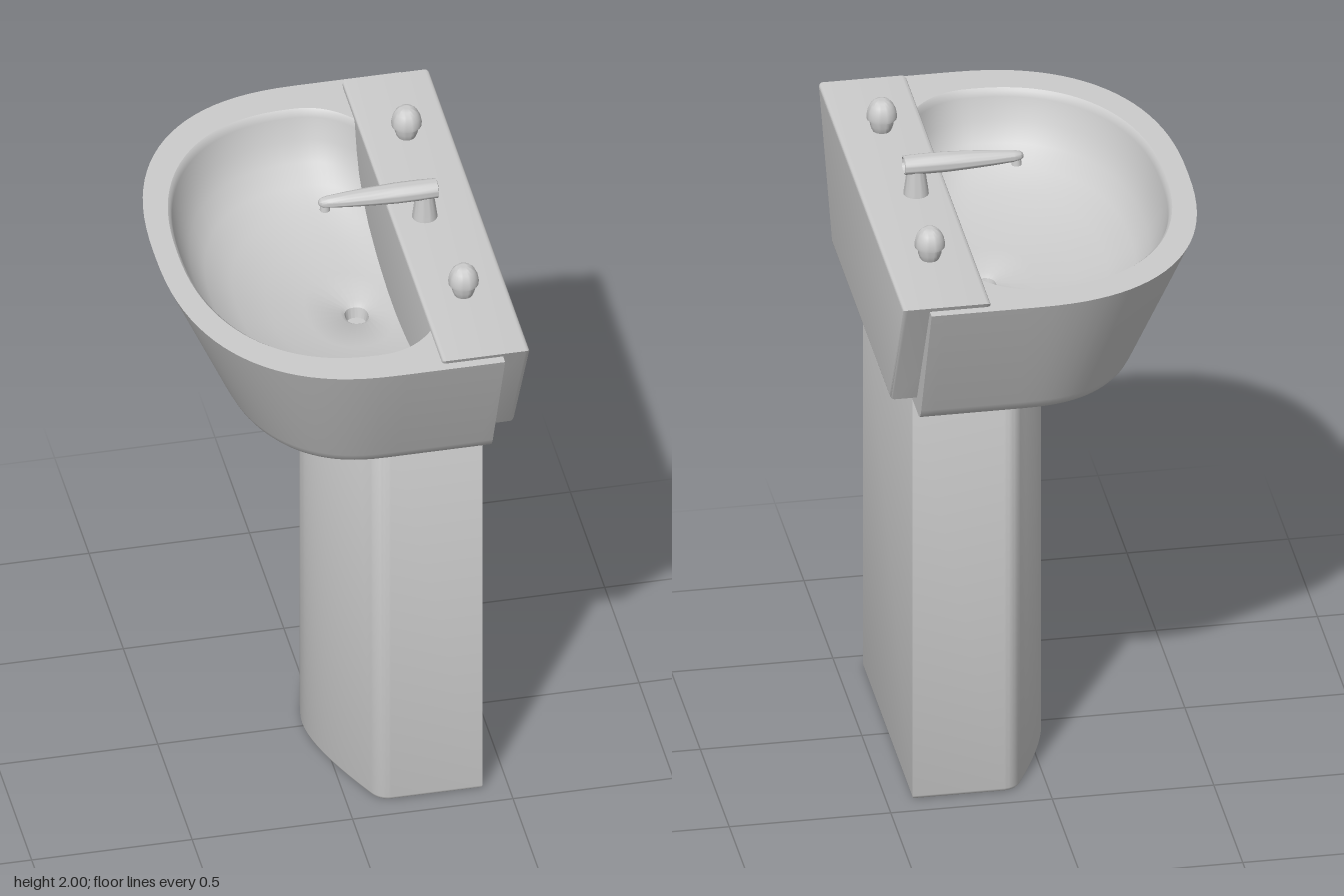
import * as THREE from 'three';
import { toCreasedNormals } from 'three/addons/utils/BufferGeometryUtils.js';

const SIDES = 96; // multiple of 8 so the square corners land on a sample

// Cross-section: superellipse front, with either a square or a rounded back
function ring({ y, cx, front, back, b, n, square = false }) {
  const points = [];
  const power = (v) => Math.sign(v) * Math.pow(Math.abs(v), 2 / n);
  for (let i = 0; i < SIDES; i++) {
    const t = (i / SIDES) * Math.PI * 2;
    const c = Math.cos(t), s = Math.sin(t);
    if (square && c > 1e-6) {
      const m = Math.max(c, Math.abs(s));
      points.push([cx + (back * c) / m, y, (b * s) / m]);
    } else {
      points.push([cx + (c > 0 ? back : front) * power(c), y, b * power(s)]);
    }
  }
  return points;
}

// Skin a list of rings
function loft(rings) {
  const geometry = new THREE.BufferGeometry();
  const index = [];
  for (let j = 0; j < rings.length - 1; j++) {
    for (let i = 0; i < SIDES; i++) {
      const k = (i + 1) % SIDES;
      const a = j * SIDES + i, b = j * SIDES + k;
      const c = a + SIDES, d = b + SIDES;
      index.push(a, c, b, b, c, d);
    }
  }
  geometry.setAttribute('position', new THREE.Float32BufferAttribute(rings.flat(2), 3));
  geometry.setIndex(index);
  return toCreasedNormals(geometry, 0.6);
}

function lathe(profile) {
  const points = profile.map(([r, y]) => new THREE.Vector2(r, y));
  return toCreasedNormals(new THREE.LatheGeometry(points, 32), 0.7);
}

export function createModel() {
  const group = new THREE.Group();
  const material = new THREE.MeshStandardMaterial({ color: 0xcccccc });
  const add = (name, geometry, x = 0, y = 0, z = 0) => {
    const mesh = new THREE.Mesh(geometry, material);
    mesh.name = name;
    mesh.position.set(x, y, z);
    group.add(mesh);
  };

  // Basin: underside, flared outer wall, flat rim, then down into the bowl and drain
  const outer = [
    // y, front x, half width
    [1.39, 0.099, 0.001], [1.39, -0.285, 0.535], [1.396, -0.302, 0.555],
    [1.41, -0.314, 0.568], [1.43, -0.324, 0.579], [1.855, -0.51, 0.76],
  ].map(([y, x, b]) => ring({
    y, cx: 0.1, front: 0.1 - x, back: b < 0.01 ? 0.001 : 0.32, b, n: 2.42, square: true,
  }));
  const inner = [
    // y, centre x, front radius, back radius, half width
    [1.855, 0.05, 0.49, 0.31, 0.645], [1.848, 0.05, 0.482, 0.308, 0.637],
    [1.83, 0.05, 0.477, 0.306, 0.632], [1.76, 0.05, 0.458, 0.3, 0.61],
    [1.7, 0.055, 0.43, 0.288, 0.575], [1.65, 0.06, 0.39, 0.268, 0.52],
    [1.607, 0.075, 0.325, 0.235, 0.435], [1.575, 0.09, 0.24, 0.185, 0.32],
    [1.552, 0.105, 0.14, 0.12, 0.19], [1.54, 0.12, 0.05, 0.05, 0.06],
    [1.528, 0.12, 0.036, 0.036, 0.042], [1.495, 0.12, 0.03, 0.03, 0.034],
    [1.495, 0.12, 0.001, 0.001, 0.001],
  ].map(([y, cx, front, back, b]) => ring({ y, cx, front, back, b, n: 2.3 }));
  add('basin', loft([...outer, ...inner]));

  // Tap deck: tapered block running through the back of the basin
  const bevel = 0.014;
  const top = 1.874 - bevel, bottom = 1.438 + bevel;
  const outline = new THREE.Shape();
  outline.moveTo(-0.498, bottom);
  outline.lineTo(0.498, bottom);
  outline.lineTo(0.721, top);
  outline.lineTo(-0.721, top);
  outline.closePath();
  const deck = new THREE.ExtrudeGeometry(outline, {
    depth: 0.272 - 2 * bevel, bevelThickness: bevel, bevelSize: bevel, bevelSegments: 4,
  });
  deck.rotateY(Math.PI / 2);
  add('tapDeck', toCreasedNormals(deck, 0.6), 0.231 + bevel, 0, 0);

  // Pedestal: flat back and sides, blunt bowed front, slightly eased foot
  const plan = new THREE.Shape();
  plan.moveTo(0.42, -0.429);
  plan.lineTo(0.42, 0.429);
  plan.lineTo(0.135, 0.429);
  plan.quadraticCurveTo(0.098, 0.426, 0.08, 0.39);
  plan.quadraticCurveTo(-0.05, 0.13, -0.05, 0);
  plan.quadraticCurveTo(-0.05, -0.13, 0.08, -0.39);
  plan.quadraticCurveTo(0.098, -0.426, 0.135, -0.429);
  plan.closePath();
  const pedestal = new THREE.ExtrudeGeometry(plan, {
    depth: 1.39, curveSegments: 10,
    bevelThickness: 0.012, bevelSize: 0.012, bevelOffset: -0.012, bevelSegments: 3,
  });
  pedestal.rotateX(Math.PI / 2);
  add('pedestal', toCreasedNormals(pedestal, 0.6), 0, 1.402, 0);

  // Faucet: tapered stem, long spout reaching over the bowl, short outlet
  const faucetZ = -0.005;
  add('faucetStem', lathe([[0.039, 0], [0.038, 0.012], [0.03, 0.07], [0.028, 0.1]]), 0.333, 1.868, faucetZ);
  const spout = lathe([
    [0, 0.02], [0.026, 0.02], [0.029, 0], [0.034, 0.002], [0.036, 0.06], [0.036, 0.13],
    [0.032, 0.21], [0.027, 0.28], [0.021, 0.34], [0.016, 0.362], [0.008, 0.37], [0, 0.371],
  ]);
  spout.rotateZ(Math.PI / 2);
  spout.scale(1, 0.83, 1);
  add('faucetSpout', spout, 0.372, 1.97, faucetZ);
  add('faucetOutlet', new THREE.CylinderGeometry(0.013, 0.016, 0.025, 20), 0.022, 1.953, faucetZ);

  // Tap knobs: rounded cup with an egg-shaped cap
  const knob = lathe([
    [0.026, 0], [0.031, 0.01], [0.036, 0.025], [0.038, 0.042], [0.046, 0.046], [0.047, 0.056],
    [0.043, 0.076], [0.035, 0.093], [0.023, 0.105], [0.01, 0.11], [0, 0.111],
  ]);
  for (const [name, z] of [['leftTapKnob', 0.41], ['rightTapKnob', -0.42]]) {
    add(name, knob, 0.365, 1.866, z);
  }

  return group;
}
